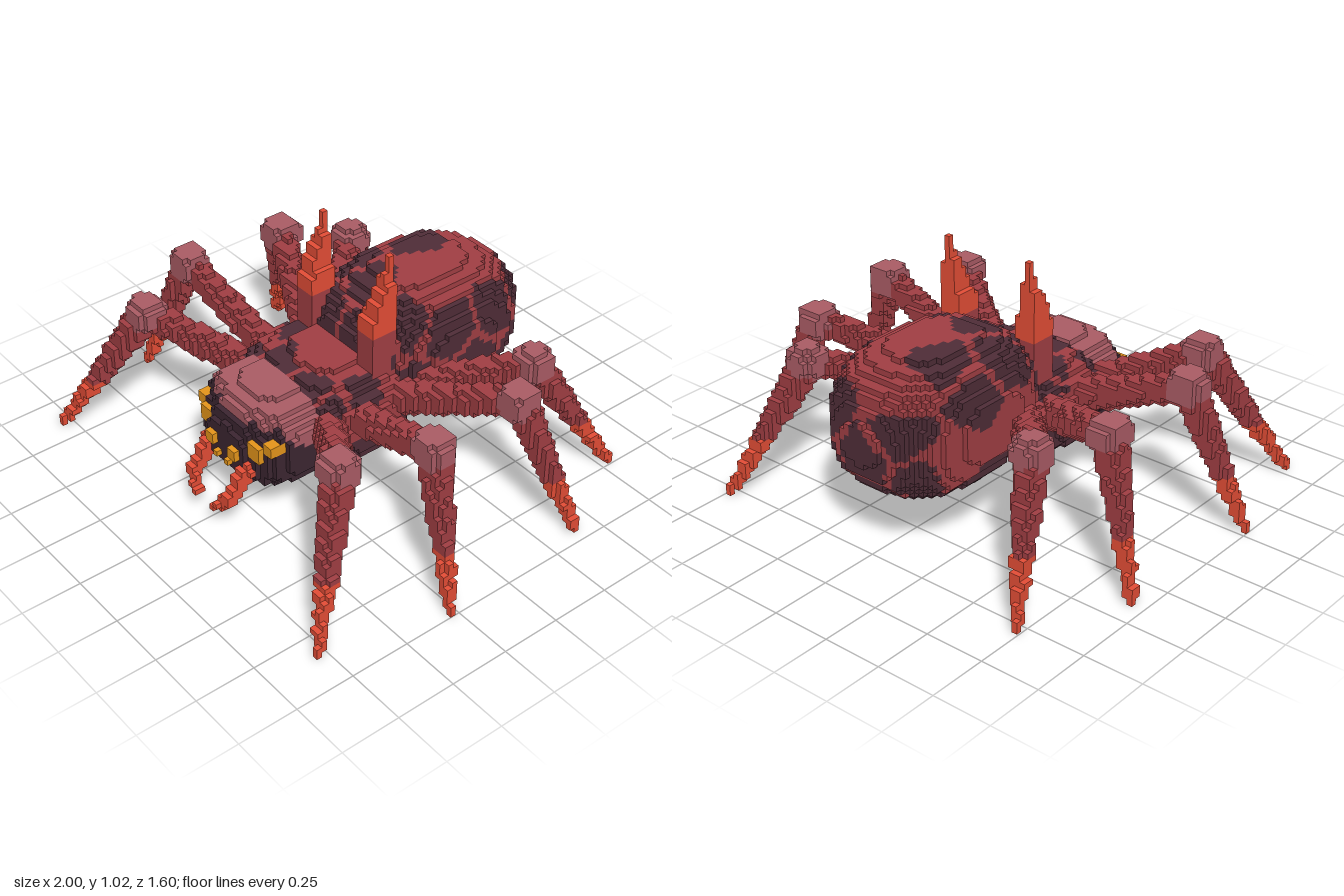
import * as THREE from 'three';

const S = 2 / 86; // cube size

const mat = (name, color) => Object.assign(new THREE.MeshStandardMaterial({ color }), { name });
const M = {
  red: mat('shellRed', 0xa23f44),
  dark: mat('patchDark', 0x502d38),
  head: mat('headDark', 0x3c2632),
  pink: mat('dustyPink', 0xac5d66),
  orange: mat('tipOrange', 0xe64e37),
  eye: mat('eyeAmber', 0xec9a1c),
};

// Occupied cells: key -> { i, j, k, part, colour }
let cells;
const key = (i, j, k) => i + ',' + j + ',' + k;

// Fill every cell of a box region for which inside() holds, never replacing earlier parts
function fill(part, lo, hi, inside, colour) {
  const i0 = Math.floor(lo[0] / S), i1 = Math.ceil(hi[0] / S);
  const j0 = Math.max(0, Math.floor(lo[1] / S)), j1 = Math.ceil(hi[1] / S);
  const k0 = Math.floor(lo[2] / S), k1 = Math.ceil(hi[2] / S);
  for (let i = i0; i <= i1; i++) for (let j = j0; j <= j1; j++) for (let k = k0; k <= k1; k++) {
    const x = (i + 0.5) * S, y = (j + 0.5) * S, z = k * S;
    const id = key(i, j, k);
    if (!cells.has(id) && inside(x, y, z)) cells.set(id, { i, j, k, part, colour: colour(x, y, z) });
  }
}

// Rounded body with a squareness power p and an optional cut
function blob(part, c, r, p, colour, keep = () => true) {
  const inside = (x, y, z) => keep(x, y, z) &&
    Math.abs((x - c[0]) / r[0]) ** p + Math.abs((y - c[1]) / r[1]) ** p + Math.abs((z - c[2]) / r[2]) ** p <= 1;
  fill(part, c.map((v, n) => v - r[n]), c.map((v, n) => v + r[n]), inside, colour);
}

// Tapered limb from a to b
function limb(part, a, b, ra, rb, colour) {
  const A = new THREE.Vector3(...a), D = new THREE.Vector3(...b).sub(A), P = new THREE.Vector3();
  const R = Math.max(ra, rb), len2 = D.lengthSq();
  const inside = (x, y, z) => {
    P.set(x, y, z).sub(A);
    const t = THREE.MathUtils.clamp(P.dot(D) / len2, 0, 1);
    return P.addScaledVector(D, -t).length() < ra + (rb - ra) * t;
  };
  fill(part, a.map((v, n) => Math.min(v, b[n]) - R), a.map((v, n) => Math.max(v, b[n]) + R), inside, colour);
}

// Cracked pattern: dark patches round the dark seeds, split by red seams
function patches(darkSeeds, redSeeds, seam) {
  const seeds = [...darkSeeds.map(s => [s, true]), ...redSeeds.map(s => [s, false])];
  return (x, y, z) => {
    let d1 = 9, d2 = 9, dark = false;
    for (const [s, isDark] of seeds) {
      const d = Math.hypot(x - s[0], y - s[1], z - s[2]);
      if (d < d1) { d2 = d1; d1 = d; dark = isDark; } else if (d < d2) d2 = d;
    }
    return dark && d2 - d1 > seam ? M.dark : M.red;
  };
}

// Eyes: centre and half size
const EYES = [
  [[0.21, 0.395, 0.489], 0.022],
  [[0.151, 0.36, 0.525], 0.034],
  [[0.07, 0.326, 0.56], 0.022],
  [[0.035, 0.267, 0.565], 0.014],
];

function headColour(x, y, z) {
  if (y < 0.34 + 0.5 * (z - 0.3) || z > 0.53 - x * x * 1.8) return M.head;
  return z > 0.3 ? M.pink : M.red;
}

// Hip, knee and foot of each leg on the left side
const LEGS = [
  ['firstLeg', [0.26, 0.41, 0.27], [0.61, 0.565, 0.5], [0.85, 0.01, 0.79]],
  ['secondLeg', [0.28, 0.41, 0.14], [0.76, 0.59, 0.185], [0.985, 0.01, 0.279]],
  ['thirdLeg', [0.26, 0.41, -0.04], [0.73, 0.57, -0.265], [0.945, 0.01, -0.395]],
  ['fourthLeg', [0.26, 0.41, -0.15], [0.56, 0.535, -0.495], [0.73, 0.01, -0.79]],
];

function buildCells() {
  cells = new Map();
  const thoraxPattern = patches(
    [[-0.08, 0.52, 0.26], [0.14, 0.52, 0.27], [-0.21, 0.51, 0.08], [0.28, 0.47, 0.1], [-0.29, 0.49, 0], [-0.24, 0.5, 0.27], [0.26, 0.48, 0.26]],
    [[0.04, 0.56, 0.11], [-0.1, 0.55, 0], [0.12, 0.55, -0.02], [-0.31, 0.39, 0.14], [0.32, 0.39, 0.16],
      [-0.31, 0.39, 0.02], [0.31, 0.39, 0.02], [-0.28, 0.47, 0.17]], 0.025);
  const abdomenPattern = patches(
    [[-0.11, 0.75, -0.48], [-0.22, 0.7, -0.23], [0, 0.74, -0.17], [0.18, 0.71, -0.17], [0.27, 0.62, -0.32], [0.27, 0.6, -0.55],
      [-0.29, 0.62, -0.46], [-0.16, 0.58, -0.77], [0.17, 0.58, -0.76], [0, 0.44, -0.79], [0.22, 0.36, -0.68], [-0.22, 0.35, -0.71],
      [0.29, 0.42, -0.44], [0.29, 0.38, -0.2], [-0.28, 0.29, -0.15], [-0.27, 0.27, -0.36], [0, 0.25, -0.7], [0.1, 0.62, -0.02], [-0.12, 0.62, -0.02]],
    [[0.08, 0.78, -0.4], [0.1, 0.75, -0.6], [-0.1, 0.73, -0.72], [-0.3, 0.43, -0.56], [-0.3, 0.46, -0.28], [0.13, 0.77, -0.3]], 0.028);

  // Eyes, standing slightly proud of the face
  for (const side of [1, -1]) for (const [c, r] of EYES) {
    blob('eyes', [c[0] * side, c[1], c[2]], [r, r, 0.03], 8, () => M.eye);
  }

  // Body
  blob('head', [0, 0.345, 0.335], [0.255, 0.185, 0.245], 3, headColour,
    (x, y, z) => z > 0.3 && z < 0.575 - x * x * 1.5 - Math.max(0, y - 0.38) * 0.6);
  blob('thorax', [0, 0.36, 0.09], [0.33, 0.195, 0.28], 2.6, (x, y, z) => (y < 0.34 ? M.dark : thoraxPattern(x, y, z)));
  blob('abdomen', [0, 0.488, -0.385], [0.302, 0.285, 0.412], 2.6,
    (x, y, z) => (y < 0.29 && Math.abs(x) < 0.24 ? M.dark : abdomenPattern(x, y, z)));

  for (const side of [1, -1]) {
    const flip = p => [p[0] * side, p[1], p[2]];
    const word = side > 0 ? 'left' : 'right';

    // Legs: knee, thigh, shin with a bright foot
    for (const [name, hip, knee, foot] of LEGS) {
      const part = word + name[0].toUpperCase() + name.slice(1);
      const k = flip(knee);
      blob(part, k, [0.068, 0.062, 0.068], 3.2, () => M.pink);
      limb(part, flip(hip), k, 0.06, 0.05, () => M.red);
      limb(part, k, flip(foot), 0.064, 0.017, (x, y) => (y < 0.235 ? M.orange : M.red));
    }

    // Back spine: red root, bright blade with a straight rear edge
    const spineWidth = y => 0.046 * (1.1 - Math.max(0, y - 0.7) / 0.36);
    fill(word + 'Spine', [0.195 * side - 0.07, 0.5, -0.1], [0.195 * side + 0.07, 1.03, 0.06],
      (x, y, z) => y < 1.03 && Math.abs(x - (0.19 + Math.max(0, y - 0.75) * 0.04) * side) < Math.max(0.013, spineWidth(y)) &&
        z > -0.085 && z < Math.min(0.035, Math.max(-0.055, 0.035 - (y - 0.74) * 0.38)),
      (x, y) => (y < 0.7 ? M.red : M.orange));

    // Fang, hooked inward
    limb(word + 'Fang', flip([0.12, 0.27, 0.55]), flip([0.115, 0.16, 0.64]), 0.032, 0.026, () => M.orange);
    limb(word + 'Fang', flip([0.115, 0.16, 0.64]), flip([0.065, 0.11, 0.665]), 0.024, 0.018, () => M.orange);
  }
}

// Mesh of the exposed cube faces, one geometry per colour
function cubeMesh(name, list, material) {
  const pos = [], nor = [], idx = [];
  for (const c of list) {
    const centre = [(c.i + 0.5) * S, (c.j + 0.5) * S, c.k * S];
    for (let axis = 0; axis < 3; axis++) for (const s of [1, -1]) {
      const n = [0, 0, 0];
      n[axis] = s;
      if (cells.has(key(c.i + n[0], c.j + n[1], c.k + n[2]))) continue;
      const u = (axis + 1) % 3, v = (axis + 2) % 3, base = pos.length / 3;
      for (const [a, b] of [[-1, -1], [1, -1], [1, 1], [-1, 1]]) {
        const p = [...centre];
        p[axis] += s * S / 2;
        p[u] += a * s * S / 2;
        p[v] += b * S / 2;
        pos.push(...p);
        nor.push(...n);
      }
      idx.push(base, base + 1, base + 2, base, base + 2, base + 3);
    }
  }
  const g = new THREE.BufferGeometry();
  g.setAttribute('position', new THREE.Float32BufferAttribute(pos, 3));
  g.setAttribute('normal', new THREE.Float32BufferAttribute(nor, 3));
  g.setIndex(idx);
  const mesh = new THREE.Mesh(g, material);
  mesh.name = name;
  return mesh;
}

export function createModel() {
  buildCells();
  const model = new THREE.Group();
  model.name = 'spider';
  const parts = new Map();
  for (const c of cells.values()) {
    if (!parts.has(c.part)) parts.set(c.part, new Map());
    const byColour = parts.get(c.part);
    if (!byColour.has(c.colour)) byColour.set(c.colour, []);
    byColour.get(c.colour).push(c);
  }
  for (const [part, byColour] of parts) {
    const group = new THREE.Group();
    group.name = part;
    for (const [material, list] of byColour) {
      const mesh = cubeMesh(part + '_' + material.name, list, material);
      if (mesh.geometry.index.count) group.add(mesh);
    }
    model.add(group);
  }
  return model;
}
